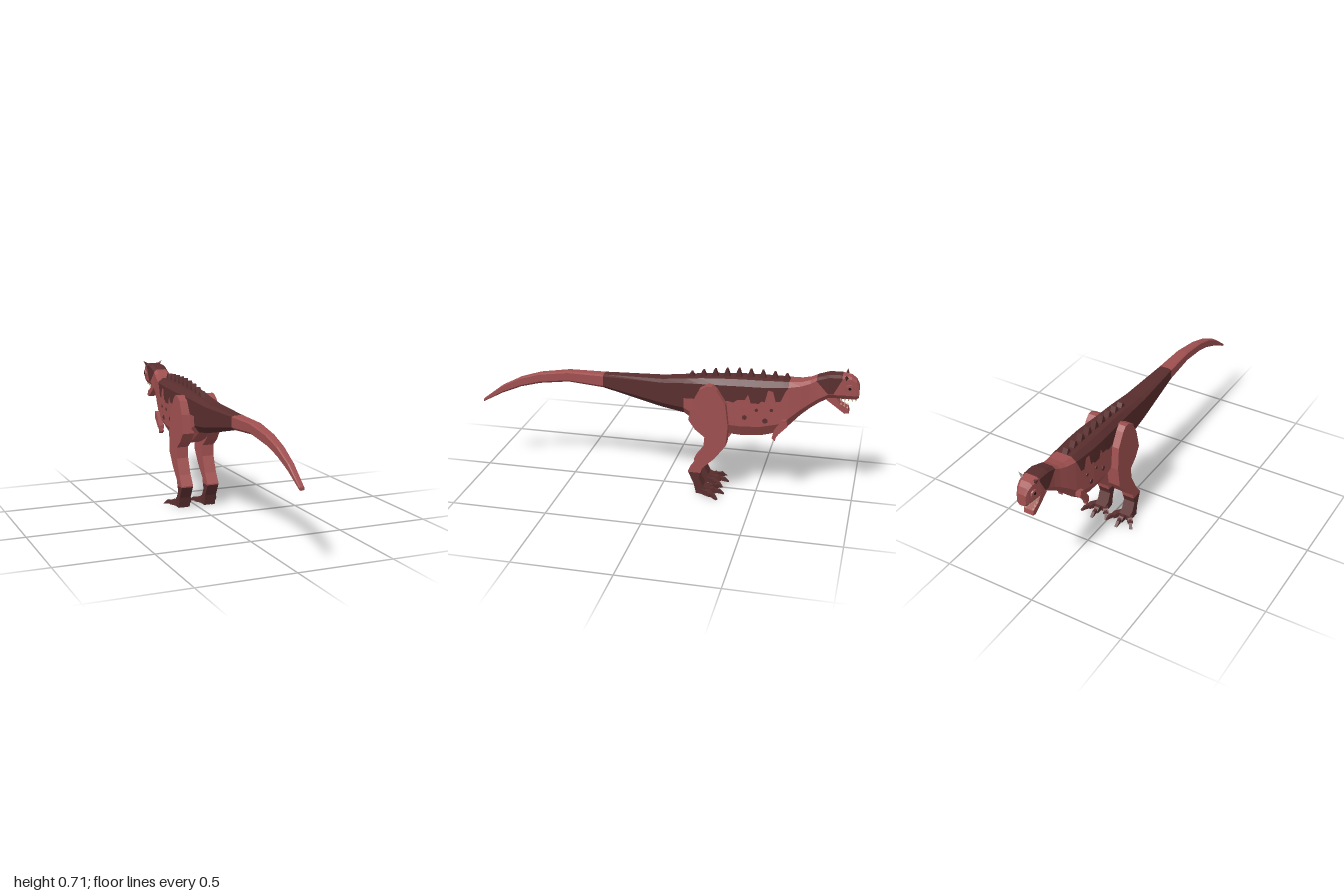
import * as THREE from 'three';

const CX = 0.0125; // centre line of the body

const mat = (name, color) => {
  const m = new THREE.MeshStandardMaterial({ color, flatShading: true });
  m.name = name;
  return m;
};

// Body stations from tail tip to snout: z, top, bottom, half width
const STATIONS = [
  [1.0, 0.395, 0.38, 0.012], [0.89, 0.48, 0.44, 0.016], [0.78, 0.537, 0.487, 0.02],
  [0.67, 0.572, 0.517, 0.024], [0.51, 0.597, 0.54, 0.03], [0.315, 0.598, 0.525, 0.036],
  [0, 0.605, 0.45, 0.053], [-0.12, 0.618, 0.43, 0.06], [-0.2, 0.628, 0.375, 0.064],
  [-0.28, 0.635, 0.342, 0.068], [-0.42, 0.643, 0.337, 0.076], [-0.52, 0.645, 0.345, 0.076],
  [-0.61, 0.647, 0.37, 0.07], [-0.66, 0.647, 0.41, 0.066], [-0.715, 0.65, 0.47, 0.056],
  [-0.76, 0.662, 0.51, 0.046], [-0.8, 0.682, 0.54, 0.042], [-0.85, 0.698, 0.573, 0.045],
  [-0.91, 0.7, 0.575, 0.044], [-0.96, 0.693, 0.575, 0.036], [-0.985, 0.675, 0.575, 0.03],
  [-1.0, 0.645, 0.582, 0.024],
];

// Lower edge of the dark markings: z, y
const MARKINGS = [
  [-0.13, 0.52], [-0.35, 0.53], [-0.38, 0.525], [-0.4, 0.54], [-0.44, 0.545], [-0.455, 0.575],
  [-0.47, 0.53], [-0.51, 0.53], [-0.525, 0.545], [-0.54, 0.54], [-0.555, 0.605], [-0.58, 0.6],
  [-0.595, 0.545], [-0.62, 0.55], [-0.64, 0.6], [-0.655, 0.63],
  [-0.79, 0.665], [-0.85, 0.59], [-0.875, 0.6], [-0.915, 0.68],
];

function sample(table, z) {
  if (z >= table[0][0]) return table[0];
  for (let i = 1; i < table.length; i++) {
    const a = table[i - 1], b = table[i];
    if (z >= b[0]) return a.map((v, k) => v + (b[k] - v) * (z - a[0]) / (b[0] - a[0]));
  }
  return table[table.length - 1];
}

// Chamfered box section with an extra point where the marking ends
function section(z) {
  const [, t, b, w] = sample(STATIONS, z);
  const h = t - b, hi = t - 0.09 * h, lo = b + 0.2 * h;
  const edge = THREE.MathUtils.clamp(sample(MARKINGS, z)[1], lo + 0.002, hi - 0.002);
  const half = [[0.62 * w, t], [w, hi], [w, edge], [w, lo], [0.55 * w, b]];
  const mirror = half.map(([x, y]) => [-x, y]).reverse();
  return [...half, ...mirror].map(([x, y]) => [x + CX, y, z]);
}

function buildBody(red, dark) {
  const zs = [...new Set([...STATIONS, ...MARKINGS].map((s) => s[0]))].sort((a, b) => b - a);
  const rings = zs.map(section);
  const parts = [[], []];
  const n = 10;
  for (let i = 0; i < rings.length - 1; i++) {
    const z = (zs[i] + zs[i + 1]) / 2;
    const tailBand = z < 0.315 && z > -0.125;
    const marked = (z < -0.12 && z > -0.655) || (z < -0.79 && z > -0.915);
    for (let j = 0; j < n; j++) {
      const k = (j + 1) % n;
      const upper = j < 2 || j > 6;
      const a = rings[i][j], b = rings[i][k], c = rings[i + 1][k], d = rings[i + 1][j];
      parts[tailBand || (marked && upper) ? 1 : 0].push(a, b, c, a, c, d);
    }
  }
  const first = rings[0], last = rings[rings.length - 1];
  for (let j = 1; j < n - 1; j++) {
    parts[0].push(first[0], first[j + 1], first[j], last[0], last[j], last[j + 1]);
  }
  const geo = new THREE.BufferGeometry();
  geo.setAttribute('position', new THREE.Float32BufferAttribute(parts.flat(2), 3));
  geo.addGroup(0, parts[0].length, 0);
  geo.addGroup(parts[0].length, parts[1].length, 1);
  geo.computeVertexNormals();
  return new THREE.Mesh(geo, [red, dark]);
}

// Side outline (z, y) extruded across x, centred on x = 0
function slab(outline, width) {
  const shape = new THREE.Shape(outline.map(([z, y]) => new THREE.Vector2(z, y)));
  const geo = new THREE.ExtrudeGeometry(shape, { depth: width, bevelEnabled: false });
  return geo.rotateY(-Math.PI / 2).translate(width / 2, 0, 0);
}

// Legs lean slightly sideways
function lean(geo) {
  const p = geo.attributes.position;
  for (let i = 0; i < p.count; i++) p.setX(i, p.getX(i) + (p.getY(i) - 0.3) * 0.025);
  geo.computeVertexNormals();
  return geo;
}

const LEG = [
  [-0.25, 0.612], [-0.21, 0.59], [-0.175, 0.52], [-0.155, 0.42], [-0.19, 0.37], [-0.24, 0.33],
  [-0.235, 0.27], [-0.195, 0.185], [-0.155, 0.13], [-0.155, 0.123], [-0.222, 0.123],
  [-0.228, 0.15], [-0.295, 0.215], [-0.35, 0.29], [-0.36, 0.4], [-0.345, 0.52], [-0.3, 0.59],
  [-0.275, 0.612],
];
const ANKLE = [[-0.155, 0.123], [-0.222, 0.123], [-0.212, 0.09], [-0.235, 0.045], [-0.265, 0.033],
  [-0.265, 0.002], [-0.198, 0.002], [-0.185, 0.06]];
const TOE = [[0.01, 0], [0.01, 0.03], [-0.07, 0.033], [-0.085, 0.022], [-0.085, 0.006]];
const CLAW = [[-0.08, 0.008], [-0.08, 0.028], [-0.105, 0.026], [-0.128, 0.002]];
const ARM = [[-0.655, 0.458], [-0.63, 0.452], [-0.59, 0.385], [-0.588, 0.365], [-0.612, 0.372], [-0.662, 0.425]];
const HAND = [[-0.588, 0.372], [-0.583, 0.352], [-0.6, 0.338], [-0.604, 0.356], [-0.615, 0.372]];
const JAW = [[-0.84, 0.565], [-0.885, 0.585], [-0.91, 0.547], [-0.952, 0.525], [-0.957, 0.502], [-0.935, 0.497]];
const SPINE = [[0.022, -0.012], [-0.022, -0.012], [-0.004, 0.04], [0.004, 0.04]];

export function createModel() {
  const red = mat('hide red', 0xa05050);
  const dark = mat('marking dark red', 0x5a2e2e);
  const cream = mat('tooth cream', 0xcfc59a);
  const black = mat('pupil black', 0x1c1212);
  const model = new THREE.Group();
  model.name = 'dinosaur';
  const add = (name, geo, material, parent = model) => {
    const m = new THREE.Mesh(geo, material);
    m.name = name;
    parent.add(m);
    return m;
  };

  const body = buildBody(red, dark);
  body.name = 'body';
  model.add(body);

  // Row of spines along the back
  for (let i = 0; i < 9; i++) {
    const z = -0.15 - i * 0.061;
    const s = add('backSpine', slab(SPINE, 0.028), dark);
    s.position.set(CX - 0.002, sample(STATIONS, z)[1], z);
    s.scale.y = 0.45 + 0.55 * Math.sin(Math.PI * (0.08 + i / 10));
  }

  // Head details
  add('lowerJaw', slab(JAW, 0.052), red).position.x = CX;
  for (const s of [-1, 1]) {
    const side = s > 0 ? 'left' : 'right';
    const horn = add(side + 'Horn', new THREE.ConeGeometry(0.017, 0.05, 4), dark);
    horn.position.set(CX + s * 0.039, 0.692, -0.935);
    horn.rotation.z = -s * 0.75;

    const brow = add(side + 'EyeRing', new THREE.CylinderGeometry(0.02, 0.022, 0.008, 10), red);
    brow.position.set(CX + s * 0.0395, 0.635, -0.954);
    brow.rotation.set(0, s * 0.16, -s * Math.PI / 2, 'YXZ');
    const pupil = add(side + 'Pupil', new THREE.CylinderGeometry(0.007, 0.007, 0.004, 8), black);
    pupil.position.set(CX + s * 0.044, 0.637, -0.955);
    pupil.rotation.copy(brow.rotation);

    // Teeth of both jaws
    for (let i = 0; i < 5; i++) {
      const z = -0.915 - i * 0.018;
      const upper = add('upperTooth', new THREE.ConeGeometry(0.006, 0.018, 4), cream);
      upper.position.set(CX + s * (sample(STATIONS, z)[3] * 0.55 - 0.003), 0.569, z);
      upper.rotation.x = Math.PI;
      if (i > 2) continue;
      const lower = add('lowerTooth', new THREE.ConeGeometry(0.005, 0.016, 4), cream);
      lower.position.set(CX + s * 0.021, 0.549 - i * 0.008, -0.915 - i * 0.016);
    }

    // Flank spots
    for (const [z, y, r] of [[-0.44, 0.45, 0.013], [-0.545, 0.44, 0.014], [-0.5, 0.495, 0.009], [-0.575, 0.5, 0.009]]) {
      const spot = add('flankSpot', new THREE.CylinderGeometry(r, r, 0.006, 7), dark);
      spot.position.set(CX + s * sample(STATIONS, z)[3], y, z);
      spot.rotation.z = Math.PI / 2;
    }

    // Short arms
    add(side + 'Arm', slab(ARM, 0.03), red).position.x = CX + s * 0.073;
    add(side + 'Hand', slab(HAND, 0.022), red).position.x = CX + s * 0.073;

    // Legs and feet
    const leg = new THREE.Group();
    leg.name = side + 'Leg';
    leg.position.x = s > 0 ? 0.08 : -0.07;
    model.add(leg);
    add('thighAndShin', lean(slab(LEG, 0.066)), red, leg);
    add('ankle', lean(slab(ANKLE, 0.064)), dark, leg);
    for (const a of [-0.62, 0, 0.62]) {
      const toe = new THREE.Group();
      toe.name = 'toe';
      toe.position.set(-Math.sign(a) * 0.004, 0, -0.215);
      toe.rotation.y = a;
      leg.add(toe);
      add('toePad', slab(TOE, 0.028), dark, toe);
      add('claw', slab(CLAW, 0.016), dark, toe);
    }
  }
  return model;
}
